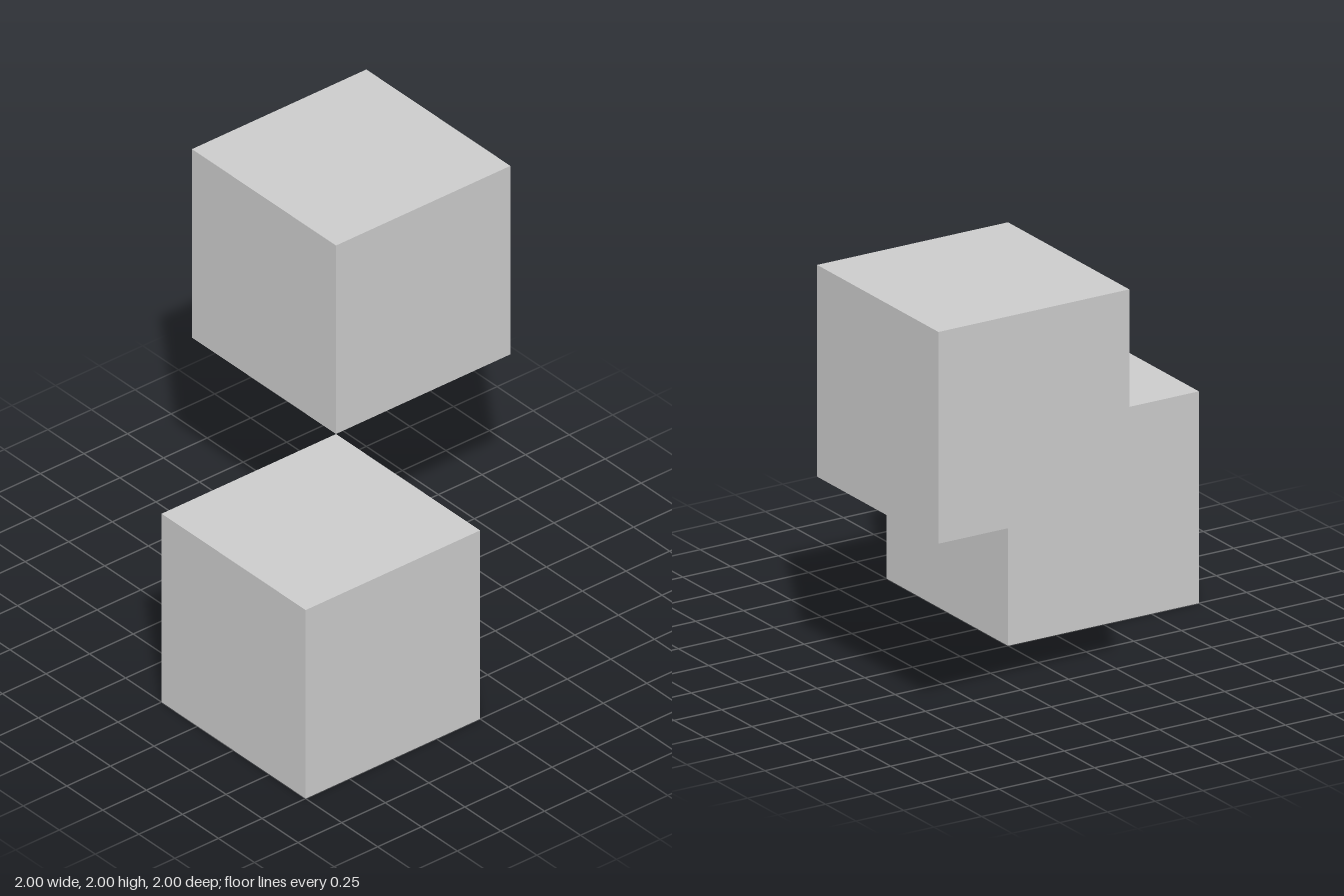
import * as THREE from 'three';

export function createModel() {
  const model = new THREE.Group();
  const material = new THREE.MeshStandardMaterial({ color: 0xcccccc, flatShading: true });
  const geometry = new THREE.BoxGeometry(1, 1, 1);

  function addCube(name, x, y, z) {
    const cube = new THREE.Mesh(geometry, material);
    cube.name = name;
    cube.position.set(x, y, z);
    model.add(cube);
  }

  // Two unit cubes touching at a single corner (0, 1, 0)
  addCube('lowerCube', -0.5, 0.5, 0.5);
  addCube('upperCube', 0.5, 1.5, -0.5);

  return model;
}
